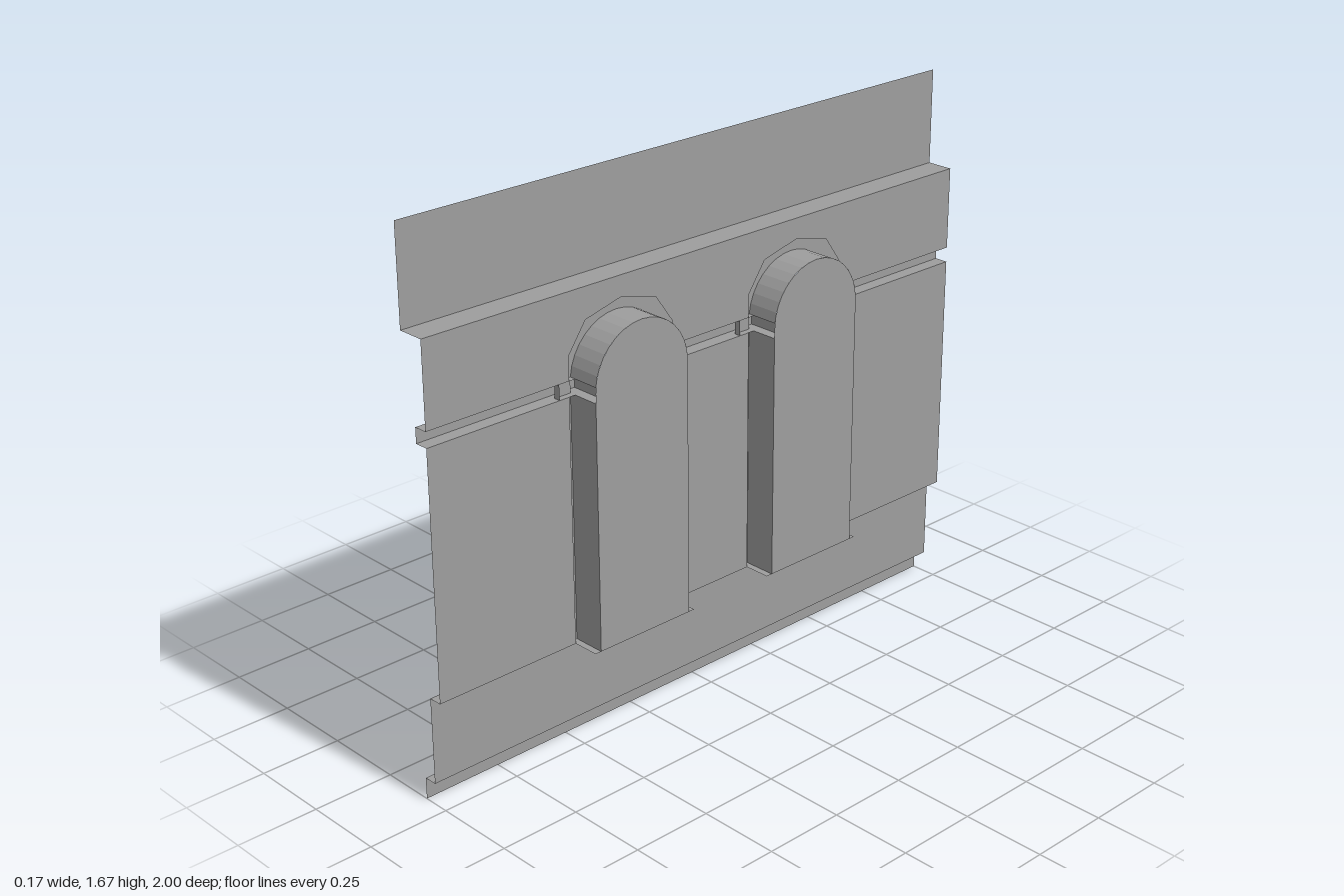
import * as THREE from 'three';

const D = 0.083;                  // cornice projection and niche depth
const STEP = 0.042;               // plinth and string course projection
const FRAME = -0.02;              // face of the niche frames
const SILL = 0.333, B0 = 1.08, B1 = 1.126, CORNICE = 1.378, TOP = 1.668;
const CZ = 0.335, R = 0.167, OUT = 0.222, SPRING = 1.109, HOLE = 0.188;

const mat = new THREE.MeshStandardMaterial({ color: 0x9e9e9e, side: THREE.DoubleSide, flatShading: true });

export function createModel() {
  const group = new THREE.Group();
  const add = (name, geo, parent = group) => {
    const m = new THREE.Mesh(geo, mat);
    m.name = name;
    parent.add(m);
    return m;
  };

  // Ribbon: a path of [x, y, z] points swept along one offset
  const ribbon = (path, off) => {
    const pos = [];
    for (let i = 0; i < path.length - 1; i++) {
      const a = path[i], b = path[i + 1];
      const a2 = a.map((v, k) => v + off[k]), b2 = b.map((v, k) => v + off[k]);
      pos.push(...a, ...b, ...b2, ...a, ...b2, ...a2);
    }
    const g = new THREE.BufferGeometry();
    g.setAttribute('position', new THREE.Float32BufferAttribute(pos, 3));
    g.computeVertexNormals();
    return g;
  };

  // Flat sheet from [z, y] outline, facing -x
  const toShape = pts => new THREE.Shape(pts.map(p => new THREE.Vector2(p[0], p[1])));
  const sheet = (pts, x) => new THREE.ShapeGeometry(toShape(pts)).rotateY(-Math.PI / 2).translate(x, 0, 0);
  // Level sheet from [x, z] outline
  const level = (pts, y) => new THREE.ShapeGeometry(toShape(pts)).rotateX(Math.PI / 2).translate(0, y, 0);

  // Arc as [z, y] points, from height y0 on one side to y0 on the other
  const arc = (r, y0, n = 16) => {
    const a0 = Math.asin((y0 - SPRING) / r);
    return Array.from({ length: n + 1 }, (_, i) => {
      const a = a0 + (Math.PI - 2 * a0) * i / n;
      return [r * Math.cos(a), SPRING + r * Math.sin(a)];
    });
  };

  // Stepped sheets above and below the wall
  const run = pts => ribbon(pts.map(([x, y]) => [x, y, -1]), [0, 0, 2]);
  add('upperBand', run([[-D, TOP], [-D, CORNICE], [0, CORNICE]]));
  add('plinth', run([[0, SILL], [-STEP, SILL], [-STEP, 0.066], [-D, 0.066], [-D, 0]]));

  // Wall above the string course, notched for the arches
  const notch = c => [[-HOLE, B1], [-HOLE, 1.196], [-0.126, 1.284], [0, 1.315],
    [0.126, 1.284], [HOLE, 1.196], [HOLE, B1]].map(([z, y]) => [z + c, y]);
  add('upperWall', sheet([[-1, B1], ...notch(-CZ), ...notch(CZ), [1, B1], [1, CORNICE], [-1, CORNICE]], 0));

  // Wall and string course between the niches; the course turns into the niches
  const inner = CZ - HOLE, outer = CZ + HOLE;
  const reveal = HOLE - R, nose = reveal + 0.033;
  for (const [z0, z1] of [[-1, -outer], [-inner, inner], [outer, 1]]) {
    add('lowerWall', sheet([[z0, SILL], [z1, SILL], [z1, B0], [z0, B0]], 0));
    const path = [], back = [];
    if (z0 > -1) {
      path.push([D, z0 - nose], [-STEP, z0 - nose]);
      back.push([0, z0 - reveal], [D, z0 - reveal]);
    } else {
      path.push([-STEP, z0]);
      back.push([0, z0]);
    }
    if (z1 < 1) {
      path.push([-STEP, z1 + nose], [D, z1 + nose]);
      back.unshift([D, z1 + reveal], [0, z1 + reveal]);
    } else {
      path.push([-STEP, z1]);
      back.unshift([0, z1]);
    }
    add('stringCourse', ribbon(path.map(([x, z]) => [x, B0, z]), [0, B1 - B0, 0]));
    for (const y of [B0, B1]) add('stringCourseEdge', level([...path, ...back], y));
  }

  // Two arched niches with frames and keystones
  for (const c of [-CZ, CZ]) {
    const niche = new THREE.Group();
    niche.name = 'niche';
    niche.position.z = c;
    group.add(niche);

    const soffit = arc(R, B1), extrados = arc(OUT, B1);
    add('nicheBack', sheet([[-R, SILL], [R, SILL], ...arc(R, SPRING)], D), niche);
    add('nicheSill', level([[0, -HOLE], [D, -HOLE], [D, HOLE], [0, HOLE]], SILL), niche);
    add('archSoffit', ribbon(soffit.map(([z, y]) => [FRAME, y, z]), [D - FRAME, 0, 0]), niche);
    add('archFace', sheet([...soffit, ...extrados.slice().reverse()], FRAME), niche);
    add('archRim', ribbon(extrados.map(([z, y]) => [FRAME, y, z]), [-FRAME, 0, 0]), niche);

    // Jambs: reveal below the string course, face and outer return running through it
    for (const s of [-1, 1]) {
      add('jambReveal', ribbon([[D, SILL, s * R], [FRAME, SILL, s * R]], [0, B0 - SILL, 0]), niche);
      add('jambFrame', ribbon([[FRAME, SILL, s * R], [FRAME, SILL, s * OUT], [0, SILL, s * OUT]],
        [0, B1 - SILL, 0]), niche);
    }

    // Keystone, tapering downwards, with its head meeting the wall
    const wedge = (pts, x0, x1) => new THREE.ExtrudeGeometry(toShape(pts), { depth: x0 - x1, bevelEnabled: false })
      .rotateY(-Math.PI / 2).translate(x0, 0, 0);
    add('keystone', wedge([[-0.026, 1.26], [0.026, 1.26], [0.036, 1.346], [-0.036, 1.346]], FRAME - 0.001, -0.044), niche);
    add('keystoneHead', wedge([[-0.034, 1.325], [0.034, 1.325], [0.036, 1.346], [-0.036, 1.346]], -0.001, FRAME - 0.001), niche);
  }
  return group;
}
